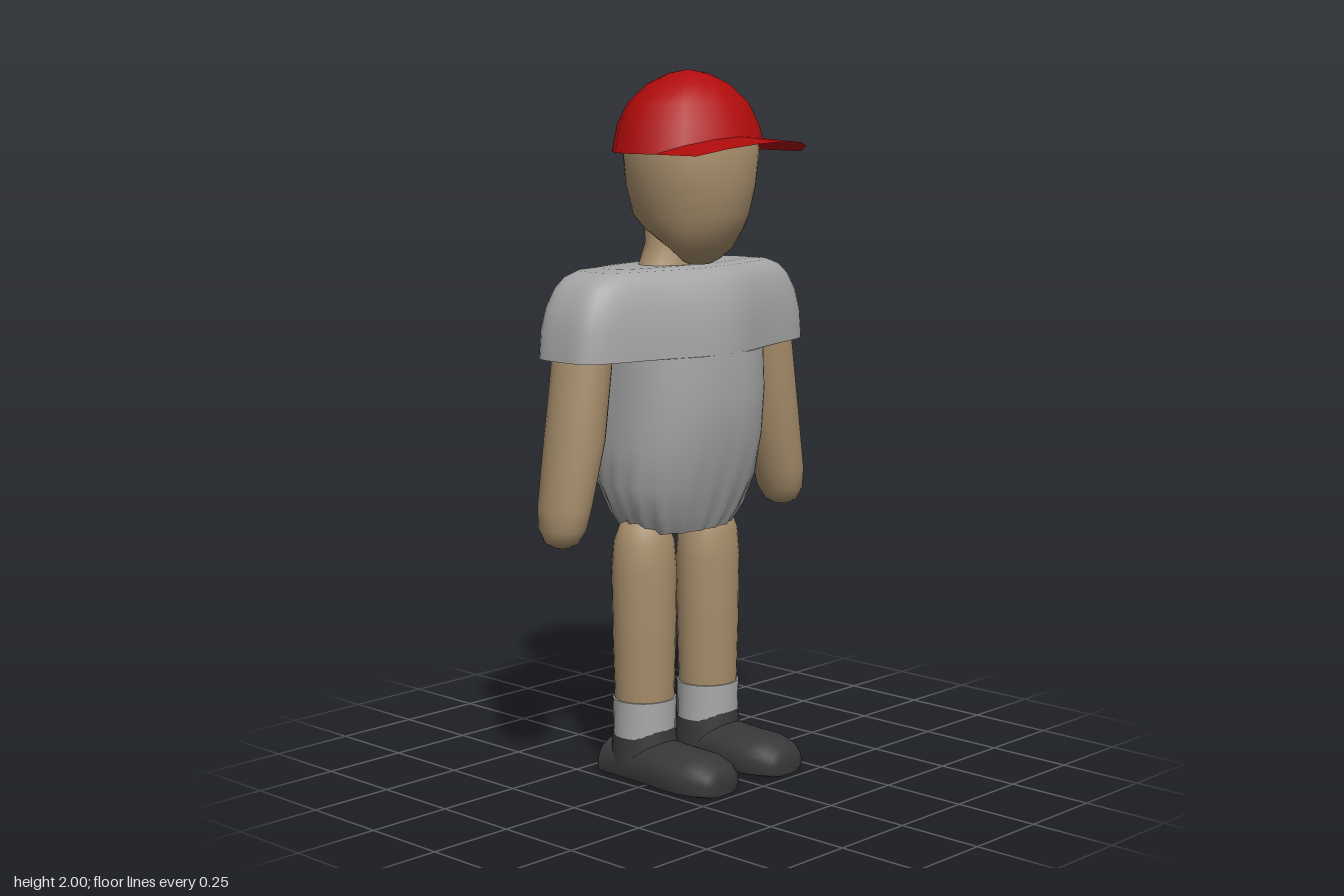
import * as THREE from 'three';
import { toCreasedNormals } from 'three/addons/utils/BufferGeometryUtils.js';

const mat = (name, color) => {
  const m = new THREE.MeshStandardMaterial({ color });
  m.name = name;
  return m;
};

// Point on a unit superellipse at angle a (n = 2 is a circle, larger is squarer)
function unit(a, n) {
  const c = Math.cos(a), s = Math.sin(a);
  const r = (Math.abs(c) ** n + Math.abs(s) ** n) ** (-1 / n);
  return [c * r, s * r];
}

// Skin stacked closed rings; point(ring, angle) returns [x, y, z]
function loft(rings, segs, point, crease = 0.8) {
  const pos = [], idx = [], R = rings.length;
  for (const ring of rings)
    for (let j = 0; j < segs; j++) pos.push(...point(ring, (j / segs) * Math.PI * 2));
  for (const i of [0, R - 1]) {
    const c = [0, 0, 0];
    for (let j = 0; j < segs; j++)
      for (let k = 0; k < 3; k++) c[k] += pos[(i * segs + j) * 3 + k] / segs;
    pos.push(...c);
  }
  for (let j = 0; j < segs; j++) {
    const j2 = (j + 1) % segs, top = (R - 1) * segs;
    for (let i = 0; i < R - 1; i++) {
      const a = i * segs + j, c = i * segs + j2, b = a + segs, d = c + segs;
      idx.push(a, b, c, b, d, c);
    }
    idx.push(R * segs, j, j2, R * segs + 1, top + j2, top + j);
  }
  const g = new THREE.BufferGeometry();
  g.setAttribute('position', new THREE.Float32BufferAttribute(pos, 3));
  g.setIndex(idx);
  return toCreasedNormals(g, crease);
}

// Limb from rings [y, centre x, radius x, radius z] around z = -0.09
const limb = (rings, segs = 24) => loft(rings, segs, ([y, cx, rx, rz], a) =>
  [cx + rx * Math.cos(a), y, -0.09 + rz * Math.sin(a)]);

export function createModel() {
  const model = new THREE.Group();
  const skin = mat('skin', 0xa58c6a);
  const shirtGrey = mat('shirt grey', 0xa6a6a6);
  const sockGrey = mat('sock grey', 0xaaaaaa);
  const shoeBlack = mat('shoe black', 0x383838);
  const capRed = mat('cap red', 0xb00c0c);
  capRed.side = THREE.DoubleSide;

  const add = (name, geometry, material) => {
    const m = new THREE.Mesh(geometry, material);
    m.name = name;
    model.add(m);
    return m;
  };

  // Shirt: body rings [y, half width, front z, back z, pleat depth],
  // then sleeve and shoulder rings [y, x scale, z scale]
  const shirtRings = [
    [0.71, 0.165, 0.03, -0.21, 0.04], [0.76, 0.205, 0.055, -0.23, 0.025],
    [0.85, 0.245, 0.085, -0.262, 0.008], [0.97, 0.25, 0.118, -0.298, 0],
    [1.1, 0.252, 0.13, -0.312, 0], [1.22, 0.255, 0.122, -0.31, 0],
    [1.22, 1, 1], [1.3, 0.985, 0.99], [1.36, 0.95, 0.94], [1.41, 0.89, 0.86],
    [1.44, 0.82, 0.77], [1.456, 0.73, 0.64], [1.461, 0.6, 0.42],
  ];
  add('shirt', loft(shirtRings, 72, (r, a) => {
    if (r.length === 5) {
      const [y, w, f, b, pleat] = r, [u, v] = unit(a, 2.5);
      const k = 1 + pleat * Math.cos(18 * a);
      return [w * u * k, y, (f + b) / 2 + ((f - b) / 2) * v * k];
    }
    const [y, sx, sz] = r, [u, v] = unit(a, 4.2);
    const x = 0.455 * sx * u;
    const depth = 0.147 + 0.073 * Math.exp(-((x / 0.2) ** 2));
    return [x, y, -0.095 + depth * sz * v];
  }), shirtGrey);

  // Neck and head: head rings are [y, half width, front z, back z]
  add('neck', limb([[1.44, 0, 0.14, 0.085], [1.47, 0, 0.122, 0.08],
    [1.52, 0, 0.1, 0.075], [1.62, 0, 0.1, 0.078]]), skin);
  add('head', loft([
    [1.463, 0.035, 0.025, -0.02], [1.475, 0.065, 0.045, -0.03], [1.51, 0.108, 0.082, -0.06],
    [1.56, 0.143, 0.115, -0.15], [1.6, 0.162, 0.133, -0.195], [1.68, 0.183, 0.149, -0.212],
    [1.78, 0.2, 0.153, -0.214], [1.83, 0.19, 0.138, -0.2], [1.9, 0.14, 0.08, -0.15],
  ], 32, ([y, w, f, b], a) =>
    [w * Math.cos(a), y, (f + b) / 2 + ((f - b) / 2) * Math.sin(a)], 1.2), skin);

  // Cap: sixteen-sided dome whose rim lifts over the face
  const lift = (a) => 0.045 * Math.max(0, (Math.sin(a) - 0.383) / 0.617);
  const capPoint = (a, s) => [0.23 * s * Math.cos(a), -0.042 + 0.196 * s * Math.sin(a)];
  const dome = loft([[1.775, 1], [1.85, 0.93], [1.91, 0.79], [1.962, 0.53], [1.99, 0.26], [2, 0.02]],
    16, ([y, s], a) => {
      const [x, z] = capPoint(a, s);
      return [x, s === 1 ? y + lift(a) : y, z];
    }, 1.3);
  add('capDome', dome, capRed);

  // Brim: the front of the rim pushed forward, arched across
  const brim = new THREE.PlaneGeometry(1, 1, 6, 1);
  const bp = brim.attributes.position;
  for (let i = 0; i < bp.count; i++) {
    const a = Math.PI / 8 * (7 - (i % 7)), outer = i >= 7;
    const [x, z] = capPoint(a, 1);
    bp.setXYZ(i, x, 1.775 + lift(a) * (outer ? 0.8 : 1), z + (outer ? 0.157 : 0));
  }
  add('capBrim', toCreasedNormals(brim, 0.3), capRed);

  // Shoe sections from toe to heel: [z, half width, height]
  const shoeRings = [[0.225, 0.045, 0.05], [0.215, 0.068, 0.075], [0.19, 0.085, 0.092],
    [0.14, 0.103, 0.102], [0.08, 0.105, 0.103], [0.02, 0.098, 0.108],
    [-0.05, 0.094, 0.11], [-0.185, 0.092, 0.1]];

  // Mirrored limbs
  for (const [side, s] of [['left', 1], ['right', -1]]) {
    add(side + 'Arm', limb([
      [0.71, 0.453 * s, 0.02, 0.025], [0.722, 0.453 * s, 0.042, 0.05], [0.76, 0.449 * s, 0.06, 0.073],
      [0.82, 0.44 * s, 0.067, 0.083], [1, 0.401 * s, 0.08, 0.09],
      [1.22, 0.37 * s, 0.077, 0.09], [1.35, 0.34 * s, 0.065, 0.08],
    ]), skin);
    const x = 0.132 * s;
    add(side + 'Leg', limb([
      [0.2, x, 0.086, 0.084], [0.4, x, 0.093, 0.088], [0.6, x, 0.096, 0.09],
      [0.68, x, 0.09, 0.083], [0.73, x, 0.07, 0.066], [0.758, x, 0.03, 0.03],
    ]), skin);
    add(side + 'Sock', limb([[0.12, x, 0.092, 0.087], [0.226, x, 0.093, 0.089]]), sockGrey);
    add(side + 'ShoeAnkle', limb([[0.04, x, 0.098, 0.095], [0.1, x, 0.094, 0.094],
      [0.14, x, 0.088, 0.088]]), shoeBlack);
    add(side + 'Shoe', loft(shoeRings, 28, ([z, w, h], a) => {
      const [u, v] = unit(a, v0(a));
      return [0.135 * s + w * u, 0.03 + (v > 0 ? (h - 0.03) * v : 0.03 * v), z];
    }), shoeBlack);
  }
  return model;
}

// Shoe cross-section: rounded above, square at the sole
const v0 = (a) => (Math.sin(a) >= 0 ? 2.2 : 8);
